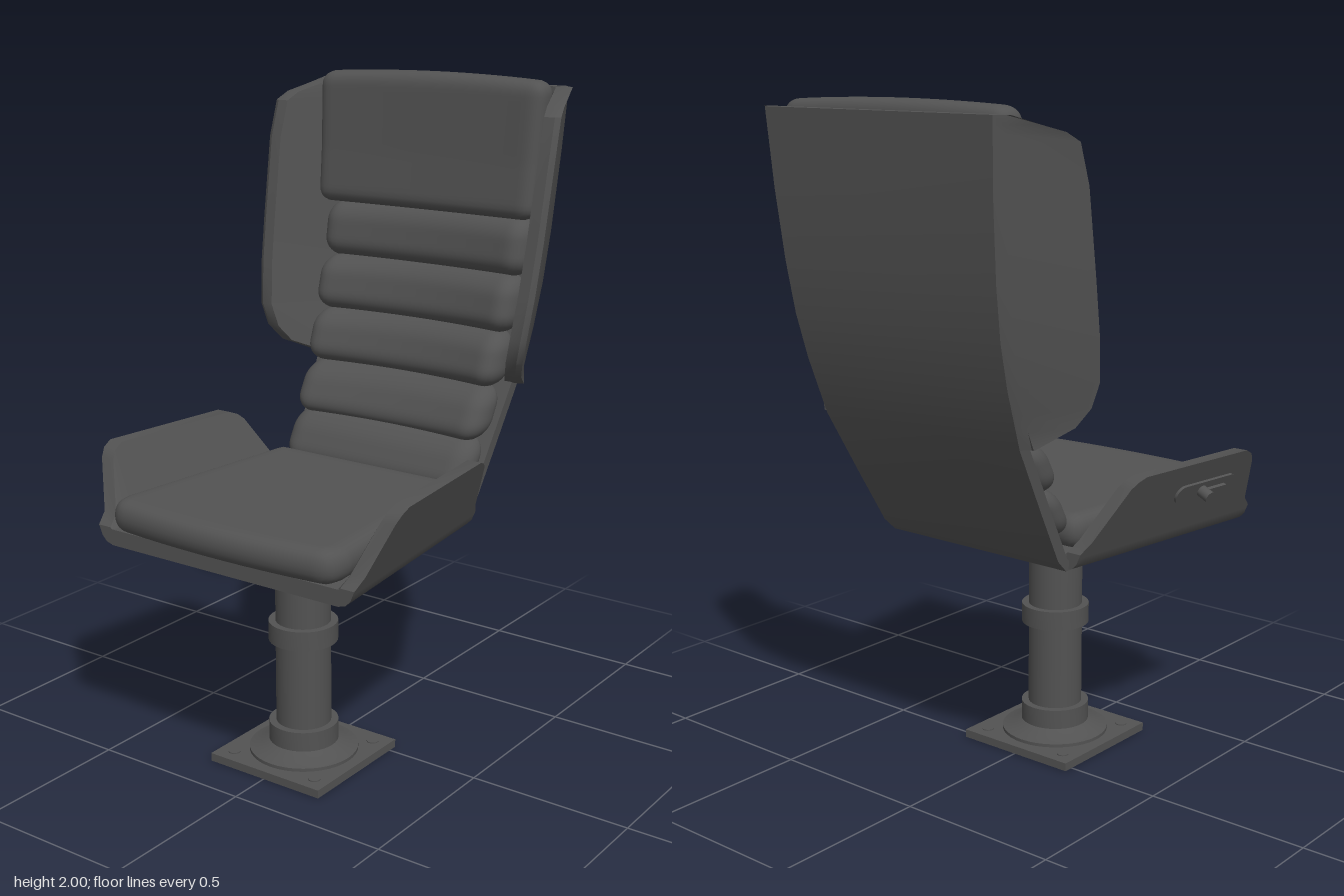
import * as THREE from 'three';
import { mergeVertices, toCreasedNormals } from 'three/addons/utils/BufferGeometryUtils.js';

const material = new THREE.MeshStandardMaterial({ color: 0x525252 });

// Straight-line interpolation in a table of [key, value] pairs
function lookup(table, k) {
  let i = 1;
  while (i < table.length - 1 && k > table[i][0]) i++;
  const [k0, v0] = table[i - 1], [k1, v1] = table[i];
  return v0 + (v1 - v0) * (k - k0) / (k1 - k0);
}

// Rear face of the back shell: height -> z, and its half width
const BACK = [[0.702, -0.2], [0.74, -0.24], [0.9, -0.33], [1.1, -0.44], [1.27, -0.5],
  [1.4, -0.535], [1.55, -0.56], [1.75, -0.582], [1.97, -0.597]];
const backZ = y => lookup(BACK, y);
const backHalf = y => lookup([[0.702, 0.33], [1.1, 0.36], [1.97, 0.405]], y);
// Half width where the seat side rises from the floor
const seatHalf = z => 0.383 + 0.11 * z;

function add(parent, name, geometry) {
  const mesh = new THREE.Mesh(geometry, material);
  mesh.name = name;
  parent.add(mesh);
  return mesh;
}

// Solid skinned over equal-length loops of [x, y, z]; side -1 mirrors it
function loft(rows, side = 1) {
  const n = rows[0].length, pos = [], index = [];
  const tri = (a, b, c) => (side > 0 ? index.push(a, b, c) : index.push(a, c, b));
  rows.forEach(row => row.forEach(([x, y, z]) => pos.push(x * side, y, z)));
  for (let i = 0; i < rows.length - 1; i++) {
    for (let j = 0; j < n; j++) {
      const a = i * n + j, b = i * n + (j + 1) % n;
      tri(a, b, b + n);
      tri(a, b + n, a + n);
    }
  }
  const last = (rows.length - 1) * n;
  for (let j = 1; j < n - 1; j++) {
    tri(0, j + 1, j);
    tri(last, last + j, last + j + 1);
  }
  const g = new THREE.BufferGeometry();
  g.setAttribute('position', new THREE.Float32BufferAttribute(pos, 3));
  g.setIndex(index);
  return toCreasedNormals(g, 0.55);
}

// Rounded upholstery block, then bent by a rule on each vertex
function pad(size, radius, segments, bend) {
  let g = new THREE.BoxGeometry(...size, ...segments);
  g.deleteAttribute('uv');
  g.deleteAttribute('normal');
  g = mergeVertices(g);
  const p = g.attributes.position, v = new THREE.Vector3(), core = new THREE.Vector3();
  const max = new THREE.Vector3(...size).multiplyScalar(0.5).subScalar(radius);
  const min = max.clone().negate();
  for (let i = 0; i < p.count; i++) {
    v.fromBufferAttribute(p, i);
    core.copy(v).clamp(min, max);
    v.sub(core).setLength(radius).add(core);
    bend(v);
    p.setXYZ(i, v.x, v.y, v.z);
  }
  g.computeVertexNormals();
  return g;
}

function lathe(points) {
  const g = new THREE.LatheGeometry(points.map(p => new THREE.Vector2(...p)), 40);
  return toCreasedNormals(g, 0.5);
}

function buildShell(root) {
  const shell = new THREE.Group();
  shell.name = 'shell';
  root.add(shell);

  // Seat floor, narrower at the rear
  add(shell, 'seatFloor', loft([-0.2, 0.55].map(z => {
    const w = seatHalf(z) - 0.04;
    return [[-w, 0.702, z], [w, 0.702, z], [w, 0.75, z], [-w, 0.75, z]];
  })));

  // Curved back panel
  add(shell, 'backPanel', loft(BACK.map(([y, z]) => {
    const w = backHalf(y), f = z + 0.04;
    return [[-w, y, z], [-w, y, f], [w, y, f], [w, y, z]];
  })));

  // Flared seat sides with a rounded lower corner: [z, top height]
  const sideTop = [[-0.19, 0.755], [-0.16, 0.785], [-0.08, 0.935], [-0.06, 0.953], [-0.03, 0.965],
    [0.41, 0.965], [0.44, 0.95], [0.46, 0.925], [0.515, 0.785], [0.55, 0.755]];
  const sideRows = sideTop.map(([z, top]) => {
    const b = seatHalf(z), x = b + 0.44 * (top - 0.735);
    return [[b - 0.045, 0.702, z], [b - 0.02, 0.709, z], [b - 0.004, 0.725, z], [b + 0.004, 0.744, z],
      [x, top, z], [x - 0.045, top, z], [b - 0.05, 0.742, z]];
  });

  // Back wings: [height, front z]
  const wingFront = [[1.1, -0.41], [1.15, -0.3], [1.2, -0.262], [1.27, -0.25], [1.4, -0.27],
    [1.55, -0.297], [1.79, -0.338], [1.9, -0.37], [1.925, -0.41], [1.945, -0.48], [1.97, -0.56]];
  const wingRows = wingFront.map(([y, zf]) => {
    const zb = backZ(y), b = backHalf(y), x = b + 0.02 + 0.385 * (zf - zb);
    return [[b - 0.03, y, zb + 0.03], [x - 0.05, y, zf], [x - 0.015, y, zf],
      [x, y, zf - 0.01], [b + 0.02, y, zb + 0.025], [b, y, zb]];
  });

  for (const [side, label] of [[1, 'left'], [-1, 'right']]) {
    add(shell, label + 'SeatSide', loft(sideRows, side));
    add(shell, label + 'Wing', loft(wingRows, side));
  }
}

function buildUpholstery(root) {
  const group = new THREE.Group();
  group.name = 'upholstery';
  root.add(group);

  // Seat cushion, wider and bowed at the front
  add(group, 'seatCushion', pad([0.8, 0.1, 0.77], 0.048, [40, 6, 40], v => {
    const t = v.z / 0.77 + 0.5, s = v.x / 0.4;
    v.x *= 0.84 + 0.18 * t - 0.5 * Math.max(0, t - 0.9);
    v.z += 0.213 - 0.025 * s * s * t;
    v.y += 0.8;
  }));

  // Touching back rolls, bowed forward at the ends and flattened behind:
  // centre height, half height, half width, front offset, bow
  const rolls = [[0.878, 0.078, 0.335, 0.137, 0], [1.02, 0.08, 0.342, 0.127, 0.03],
    [1.175, 0.084, 0.352, 0.118, 0.05], [1.335, 0.087, 0.362, 0.112, 0.05], [1.5, 0.089, 0.37, 0.105, 0.035]];
  const depth = 0.13;
  rolls.forEach(([yc, hh, hw, front, bow], i) => {
    const backScale = (front - 0.02) / (depth / 2) - 1;
    add(group, 'backRoll' + (i + 1), pad([hw * 2, hh * 2, depth], 0.062, [44, 14, 12], v => {
      const s = v.x / hw, forward = v.z / depth + 0.5;
      v.y += yc;
      if (v.z < 0) v.z *= backScale;
      v.z += backZ(v.y) + front - depth / 2 + bow * s * s * forward;
    }));
  });

  // Headrest with a slightly arched top
  add(group, 'headrest', pad([0.79, 0.415, 0.1], 0.042, [44, 26, 8], v => {
    const s = v.x / 0.395, up = v.y / 0.2;
    v.x *= 1 + 0.015 * up;
    v.y += 1.7925 - 0.012 * s * s * Math.max(0, up);
    v.z += backZ(v.y) + 0.085 + 0.01 * s * s;
  }));
}

function buildPedestal(root) {
  const pedestal = new THREE.Group();
  pedestal.name = 'pedestal';
  pedestal.position.z = 0.17;
  root.add(pedestal);

  add(pedestal, 'basePlate', new THREE.BoxGeometry(0.4, 0.025, 0.4)).position.y = 0.0125;
  add(pedestal, 'baseFlange', lathe([[0.165, 0.02], [0.165, 0.035], [0.14, 0.042], [0.115, 0.055],
    [0.105, 0.06], [0.105, 0.12], [0.08, 0.12]]));
  add(pedestal, 'column', new THREE.CylinderGeometry(0.083, 0.083, 0.66, 40)).position.y = 0.36;
  add(pedestal, 'middleCollar', lathe([[0.08, 0.382], [0.104, 0.382], [0.104, 0.442], [0.08, 0.442]]));
  add(pedestal, 'topCollar', lathe([[0.08, 0.618], [0.104, 0.618], [0.104, 0.675], [0.115, 0.682],
    [0.135, 0.69], [0.135, 0.708]]));
  for (const x of [-0.15, 0.15]) {
    for (const z of [-0.15, 0.15]) {
      add(pedestal, 'baseBolt', new THREE.CylinderGeometry(0.018, 0.018, 0.006, 20)).position.set(x, 0.025, z);
    }
  }
}

// Adjuster on the outside of the right seat side
function buildAdjuster(root) {
  const adjuster = new THREE.Group();
  adjuster.name = 'adjuster';
  adjuster.position.set(-seatHalf(0.27) - 0.44 * 0.135, 0.87, 0.27);
  adjuster.rotation.y = -Math.PI / 2 - 0.11;
  root.add(adjuster);
  const mount = new THREE.Group();
  mount.name = 'adjusterMount';
  mount.rotation.x = Math.atan(0.44);
  adjuster.add(mount);

  const plate = new THREE.Shape();
  plate.absarc(0.1, 0, 0.03, -Math.PI / 2, Math.PI / 2);
  plate.absarc(-0.1, 0, 0.03, Math.PI / 2, Math.PI * 1.5);
  add(mount, 'adjusterPlate', new THREE.ExtrudeGeometry(plate, { depth: 0.008, bevelEnabled: false }));
  const knob = add(mount, 'adjusterKnob', new THREE.CylinderGeometry(0.018, 0.018, 0.045, 24));
  knob.rotation.x = Math.PI / 2;
  knob.position.set(-0.02, 0, 0.0225);
  add(mount, 'adjusterLever', new THREE.BoxGeometry(0.09, 0.012, 0.012)).position.set(0.035, 0, 0.012);
}

export function createModel() {
  const root = new THREE.Group();
  root.name = 'pedestalSeat';
  buildShell(root);
  buildUpholstery(root);
  buildPedestal(root);
  buildAdjuster(root);
  return root;
}
